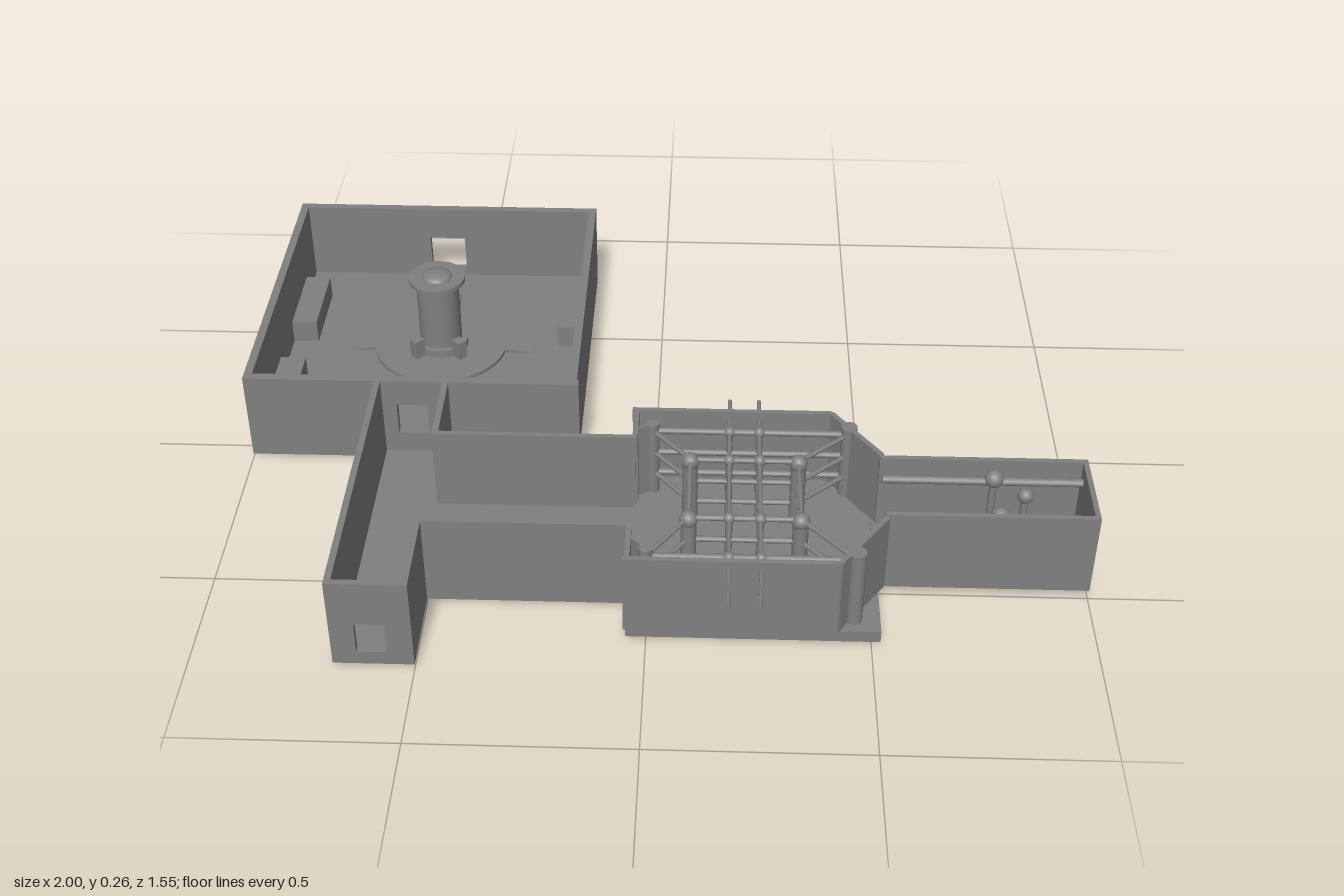
import * as THREE from 'three';

const mat = new THREE.MeshStandardMaterial({ color: 0x808080 });

export function createModel() {
  const root = new THREE.Group();
  const H = 0.24; // top of every wall
  const BASE = 0.01; // underside of the floors

  const section = (name) => {
    const g = new THREE.Group();
    g.name = name;
    root.add(g);
    return g;
  };
  const add = (parent, name, geo, x = 0, y = 0, z = 0) => {
    const m = new THREE.Mesh(geo, mat);
    m.name = name;
    m.position.set(x, y, z);
    parent.add(m);
    return m;
  };
  // box given by its extents
  const box = (p, name, x0, x1, y0, y1, z0, z1) =>
    add(p, name, new THREE.BoxGeometry(x1 - x0, y1 - y0, z1 - z0), (x0 + x1) / 2, (y0 + y1) / 2, (z0 + z1) / 2);
  // wall along x, with a rectangular opening [x0, x1, y0, y1]
  const piercedWall = (p, name, x0, x1, z0, z1, [a, b, c, d]) => {
    const s = new THREE.Shape([[x0, BASE], [x1, BASE], [x1, H], [x0, H]].map((q) => new THREE.Vector2(...q)));
    s.holes.push(new THREE.Path([[a, c], [a, d], [b, d], [b, c]].map((q) => new THREE.Vector2(...q))));
    add(p, name, new THREE.ExtrudeGeometry(s, { depth: z1 - z0, bevelEnabled: false }), 0, 0, z0);
  };
  // upright cylinder from y0 to y1
  const post = (p, name, x, z, r, y0, y1, seg = 20) =>
    add(p, name, new THREE.CylinderGeometry(r, r, y1 - y0, seg), x, (y0 + y1) / 2, z);
  // round bar between two points
  const rod = (p, name, a, b, r) => {
    const A = new THREE.Vector3(...a), B = new THREE.Vector3(...b);
    const m = add(p, name, new THREE.CylinderGeometry(r, r, A.distanceTo(B), 10));
    m.position.copy(A).lerp(B, 0.5);
    m.quaternion.setFromUnitVectors(new THREE.Vector3(0, 1, 0), B.sub(A).normalize());
  };
  const ball = (p, name, x, y, z, r) => add(p, name, new THREE.SphereGeometry(r, 16, 12), x, y, z);
  // wall between two plan points
  const slantWall = (p, name, x0, z0, x1, z1, t, y0) => {
    const m = add(p, name, new THREE.BoxGeometry(Math.hypot(x1 - x0, z1 - z0), H - y0, t),
      (x0 + x1) / 2, (y0 + H) / 2, (z0 + z1) / 2);
    m.rotation.y = -Math.atan2(z1 - z0, x1 - x0);
  };

  // large square room
  const room = section('squareRoom');
  box(room, 'roomFloor', -1, -0.19, BASE, 0.03, -0.78, 0.03);
  box(room, 'roomWallRight', -1, -0.98, BASE, H, -0.78, 0.03);
  box(room, 'roomWallLeft', -0.21, -0.19, BASE, H, -0.78, 0.03);
  piercedWall(room, 'roomWallBack', -1, -0.19, -0.78, -0.76, [-0.65, -0.555, 0.05, 0.15]);
  piercedWall(room, 'roomWallFront', -1, -0.185, 0.022, 0.044, [-0.63, -0.555, 0.085, 0.17]);
  for (const x of [-0.98, -0.275]) {
    for (const z of [-0.64, -0.26]) box(room, 'bench', x, x + 0.065, 0.03, 0.09, z, z + 0.22);
  }

  // round dais with four short ramps and the central column
  const dais = section('dais');
  const cx = -0.583, cz = -0.41;
  post(dais, 'daisDisc', cx, cz, 0.173, 0.025, 0.04, 48);
  const rampShape = new THREE.Shape([[0.15, 0.028], [0.245, 0.028], [0.245, 0.031], [0.18, 0.04], [0.15, 0.04]]
    .map((q) => new THREE.Vector2(...q)));
  const rampGeo = new THREE.ExtrudeGeometry(rampShape, { depth: 0.052, bevelEnabled: false }).translate(0, 0, -0.026);
  for (let i = 0; i < 4; i++) add(dais, 'daisRamp', rampGeo, cx, 0, cz).rotation.y = (i * Math.PI) / 2;
  post(dais, 'undersideDisc', cx, cz, 0.073, 0, 0.02, 32);
  post(dais, 'columnBase', cx, cz, 0.07, 0.03, 0.06, 32);
  post(dais, 'columnShaft', cx, cz, 0.055, 0.03, 0.24, 32);
  post(dais, 'columnCap', cx, cz, 0.073, 0.238, 0.25, 32);
  const dome = add(dais, 'columnDome', new THREE.SphereGeometry(0.04, 24, 10, 0, Math.PI * 2, 0, Math.PI / 2), cx, 0.249, cz);
  dome.scale.y = 0.4;
  for (const s of [-1, 1]) {
    const foot = add(dais, 'columnFoot', new THREE.BoxGeometry(0.025, 0.06, 0.03), cx + s * 0.055, 0.06, cz + 0.06);
    foot.rotation.y = (s * Math.PI) / 4;
  }

  // T-shaped corridor
  const hall = section('corridor');
  box(hall, 'corridorFloor', -0.68, -0.5, BASE, 0.03, 0.03, 0.77);
  box(hall, 'branchFloor', -0.5, -0.04, BASE, 0.03, 0.235, 0.56);
  box(hall, 'corridorWallRight', -0.68, -0.665, BASE, H, 0.03, 0.77);
  box(hall, 'corridorWallLeftBack', -0.515, -0.5, BASE, H, 0.03, 0.245);
  box(hall, 'corridorWallLeftFront', -0.515, -0.5, BASE, H, 0.55, 0.77);
  box(hall, 'branchWallBack', -0.515, -0.04, BASE, H, 0.235, 0.247);
  box(hall, 'branchWallFront', -0.515, -0.04, BASE, H, 0.55, 0.562);
  piercedWall(hall, 'corridorEndWall', -0.68, -0.5, 0.76, 0.775, [-0.625, -0.558, 0.045, 0.125]);

  // chamber with cut corners, both halves mirrored about its long axis
  const chamber = section('chamber');
  box(chamber, 'chamberFloor', -0.045, 0.52, BASE, 0.04, 0.13, 0.67);
  const levels = [0.095, 0.155, 0.217];
  for (const s of [-1, 1]) {
    const wall = (d) => 0.402 + s * d;
    const outer = 0.411 + s * 0.224;
    const inner = 0.398 + s * 0.104;
    slantWall(chamber, 'chamberSideWall', -0.05, wall(0.268), 0.42, wall(0.268), 0.012, 0.035);
    slantWall(chamber, 'chamberCornerWall', 0.42, wall(0.268), 0.53, wall(0.112), 0.012, 0.04);
    slantWall(chamber, 'chamberEntryWall', -0.04, wall(0.268), -0.04, wall(0.16), 0.012, 0.035);
    slantWall(chamber, 'entryCorner', -0.04, wall(0.19), 0, outer, 0.006, 0.04);
    post(chamber, 'cornerPillar', 0.46, outer, 0.019, 0.045, H);
    post(chamber, 'entryPillar', 0, outer, 0.015, 0.04, H);
    for (const x of [0.09, 0.34]) {
      post(chamber, 'innerPillar', x, inner, 0.018, 0.04, 0.21);
      ball(chamber, 'innerPillarTop', x, 0.212, inner, 0.021);
    }
    // frame of stacked bars
    for (const y of levels) {
      rod(chamber, 'outerBar', [0, y, outer], [0.46, y, outer], 0.008);
      rod(chamber, 'innerBar', [0.09, y, inner], [0.34, y, inner], 0.007);
      rod(chamber, 'entryDiagonal', [0, y, outer], [0.09, y, inner], 0.006);
      rod(chamber, 'exitDiagonal', [0.46, y, outer], [0.34, y, inner], 0.006);
    }
    for (const x of [0.18, 0.25]) {
      for (const z of [inner, outer]) {
        post(chamber, 'crossingPost', x, z, 0.008, 0.04, 0.215, 12);
        ball(chamber, 'crossingBall', x, 0.217, z, 0.014);
      }
    }
  }
  for (const y of levels.slice(1)) {
    for (const x of [0.18, 0.25]) rod(chamber, 'throughBar', [x, y, 0.065], [x, y, 0.728], 0.005);
  }
  for (const y of levels) {
    for (const x of [0.09, 0.34]) rod(chamber, 'innerCrossBar', [x, y, 0.295], [x, y, 0.505], 0.006);
  }

  // narrow exit passage with two rails
  const exit = section('exitPassage');
  box(exit, 'exitFloor', 0.515, 1, 0.03, 0.045, 0.295, 0.505);
  box(exit, 'exitWallBack', 0.525, 1, 0.03, H, 0.293, 0.305);
  box(exit, 'exitWallFront', 0.525, 1, 0.03, H, 0.495, 0.507);
  box(exit, 'exitEndWall', 0.988, 1, 0.03, H, 0.293, 0.507);
  for (const z of [0.33, 0.463]) {
    rod(exit, 'rail', [0.53, 0.2, z], [0.99, 0.2, z], 0.01);
    for (const [x, y, r] of [[0.785, 0.208, 0.022], [0.862, 0.16, 0.019]]) {
      post(exit, 'railPost', x, z, 0.009, 0.04, y, 12);
      ball(exit, 'railBall', x, y, z, r);
    }
  }
  return root;
}
